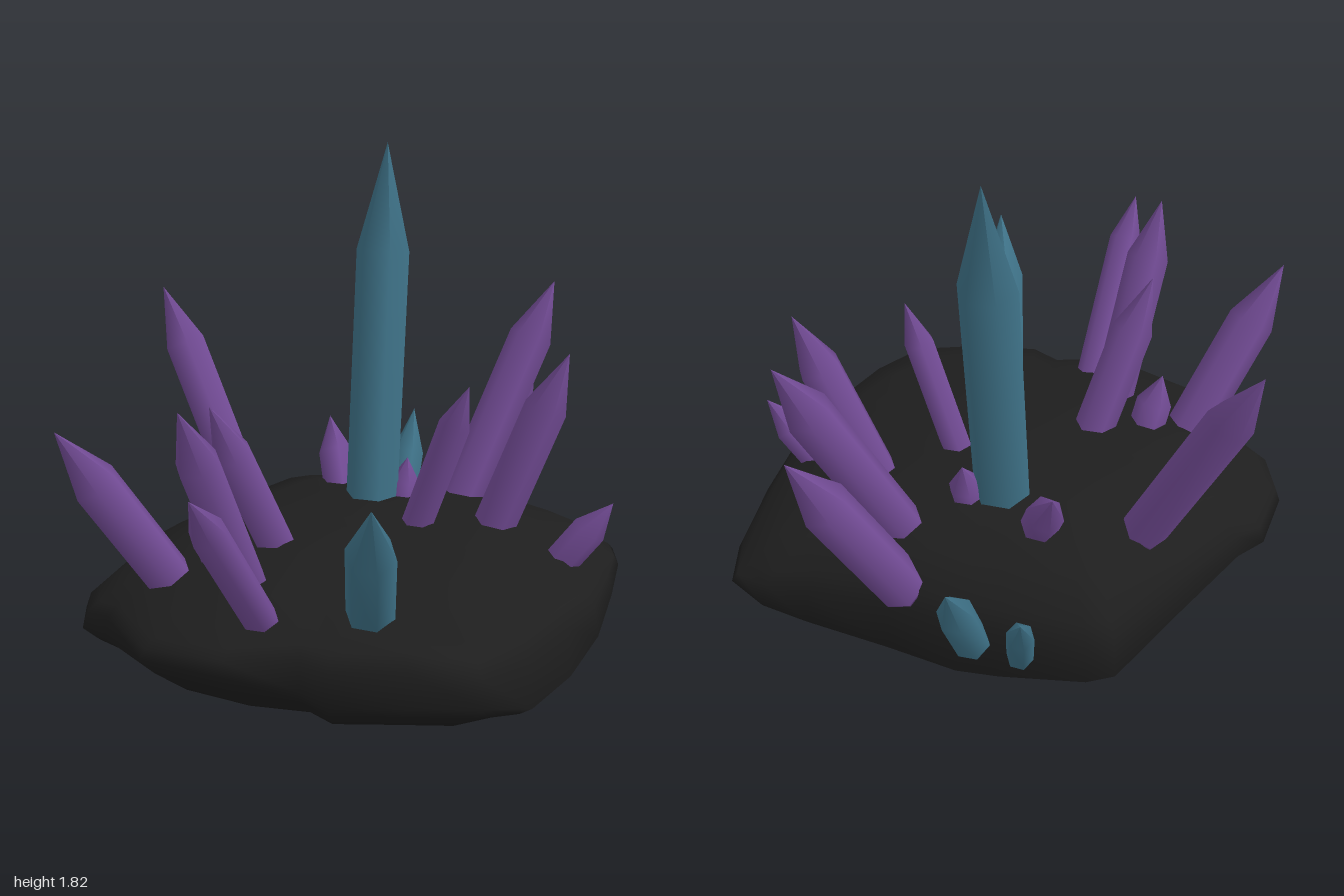
import * as THREE from 'three';

const rockMat = new THREE.MeshStandardMaterial({ name: 'charcoal rock', color: 0x1e1e1e });
const purpleMat = new THREE.MeshStandardMaterial({ name: 'purple crystal', color: 0x734c96 });
const tealMat = new THREE.MeshStandardMaterial({ name: 'teal crystal', color: 0x3f7389 });

// Rock slab: one outline (x, z, rim height) stacked in rings from underside to top
function makeRock() {
  const outline = [
    [-0.40, -0.74, 0.10], [-0.10, -0.76, 0.07], [0.05, -0.77, 0.07], [0.30, -0.75, 0.10],
    [0.60, -0.74, 0.14], [0.76, -0.74, 0.18], [0.88, -0.71, 0.24], [0.92, -0.55, 0.25],
    [0.925, -0.30, 0.24], [0.915, 0, 0.22], [0.85, 0.20, 0.16], [0.76, 0.45, 0.16],
    [0.64, 0.65, 0.25], [0.40, 0.70, 0.24], [0.15, 0.755, 0.23], [0.04, 0.71, 0.25],
    [-0.20, 0.79, 0.31], [-0.51, 0.72, 0.29], [-0.76, 0.47, 0.21], [-0.87, 0.41, 0.20],
    [-0.93, 0.25, 0.20], [-0.90, 0, 0.20], [-0.82, -0.10, 0.20], [-0.65, -0.40, 0.15],
    [-0.49, -0.69, 0.10],
  ];
  // k runs 0 at the back to 1 at the front, s runs 0 at the left edge to 1 at the right;
  // drop lowers the far corners
  const shoulder = (k, s, drop) => 0.29 + 0.05 * k + 0.09 * s - drop;
  const rings = [
    [0, () => 0.005],
    [0.45, () => 0.018],
    [0.80, rim => rim * 0.5 - 0.03],
    [0.94, rim => rim * 0.8 - 0.01],
    [1.00, rim => rim],
    [0.98, (rim, k, s, drop) => rim + (shoulder(k, s, drop) - rim) * 0.75],
    [0.94, (rim, k, s, drop) => shoulder(k, s, drop) + 0.015],
    [0.83, (rim, k, s, drop) => 0.45 - 0.05 * k + 0.04 * s - drop * 0.9],
    [0.60, (rim, k, s, drop) => 0.52 - 0.045 * k - drop * 0.4],
    [0.30, (rim, k) => 0.535 - 0.02 * k],
    [0, () => 0.53],
  ];
  const pos = [], index = [], n = outline.length;
  for (const [scale, height] of rings)
    for (const [x, z, rim] of outline) {
      const drop = 0.33 * Math.max(0, Math.hypot(x, z) - 0.82);
      pos.push(x * scale, height(rim, (z + 0.77) / 1.56, (x + 0.93) / 1.86, drop), z * scale);
    }
  for (let i = 0; i < rings.length - 1; i++)
    for (let j = 0; j < n; j++) {
      const a = i * n + j, b = i * n + (j + 1) % n, c = b + n, d = a + n;
      if (i < rings.length - 2) index.push(a, d, c);
      if (i > 0) index.push(a, c, b);
    }
  const geo = new THREE.BufferGeometry();
  geo.setAttribute('position', new THREE.Float32BufferAttribute(pos, 3));
  geo.setIndex(index);
  geo.computeVertexNormals();
  const rock = new THREE.Mesh(geo, rockMat);
  rock.name = 'rockBase';
  return rock;
}

// Six-sided pointed crystal from base to tip, its foot sunk into the rock
function makeCrystal(name, mat, tip, base, r, sink = 0.06, point = 2.8) {
  const top = new THREE.Vector3(...tip), foot = new THREE.Vector3(...base);
  const dir = top.clone().sub(foot).normalize();
  foot.addScaledVector(dir, -sink);
  const len = top.distanceTo(foot);
  const cone = Math.min(point * r, len * 0.42);
  const profile = [[0, 0], [r * 0.97, 0], [r, 0.01], [r, len - cone], [0, len]]
    .map(p => new THREE.Vector2(...p));
  const mesh = new THREE.Mesh(new THREE.LatheGeometry(profile, 6, Math.PI / 6), mat);
  mesh.name = name;
  mesh.position.copy(foot);
  mesh.quaternion.setFromUnitVectors(new THREE.Vector3(0, 1, 0), dir);
  return mesh;
}

export function createModel() {
  const group = new THREE.Group();
  group.name = 'crystalCluster';
  group.add(makeRock());

  // Teal crystals
  group.add(
    makeCrystal('tallTealCrystal', tealMat, [0, 1.825, -0.52], [0, 0.5, -0.325], 0.1, 0.06, 3.9),
    makeCrystal('frontTealCrystal', tealMat, [0.305, 0.96, 0.81], [0.22, 0.45, 0.5], 0.085),
    makeCrystal('backTealCrystal', tealMat, [0, 0.64, -1], [-0.01, 0.215, -0.765], 0.065, 0),
    makeCrystal('smallBackTealCrystal', tealMat, [-0.24, 0.57, -1], [-0.18, 0.2, -0.775], 0.047, 0),
  );

  // Purple crystals: tip, base, radius
  const purples = [
    [[-0.87, 1.24, -0.45], [-0.53, 0.50, -0.33], 0.082],
    [[-0.83, 1.02, 0.60], [-0.56, 0.42, 0.34], 0.086],
    [[-0.35, 1.17, 0.70], [-0.25, 0.48, 0.41], 0.078],
    [[-0.39, 1.06, 0.33], [-0.23, 0.50, 0.14], 0.074],
    [[-0.20, 1.01, 1.00], [-0.13, 0.43, 0.59], 0.062],
    [[-0.45, 0.66, 0.30], [-0.41, 0.47, 0.25], 0.066],
    [[0.585, 1.275, -0.82], [0.31, 0.48, -0.53], 0.082],
    [[0.51, 1.03, -0.96], [0.27, 0.38, -0.70], 0.087],
    [[0.415, 1.075, -0.07], [0.22, 0.50, -0.12], 0.057],
    [[0.72, 1.14, -0.34], [0.49, 0.50, -0.28], 0.078],
    [[0.92, 0.65, -0.19], [0.77, 0.44, -0.18], 0.062],
    [[-0.24, 0.73, -0.58], [-0.165, 0.50, -0.455], 0.066],
    [[0.12, 0.66, -0.40], [0.11, 0.50, -0.37], 0.06],
  ];
  purples.forEach(([tip, base, r], i) =>
    group.add(makeCrystal(`purpleCrystal${i + 1}`, purpleMat, tip, base, r)));

  return group;
}
